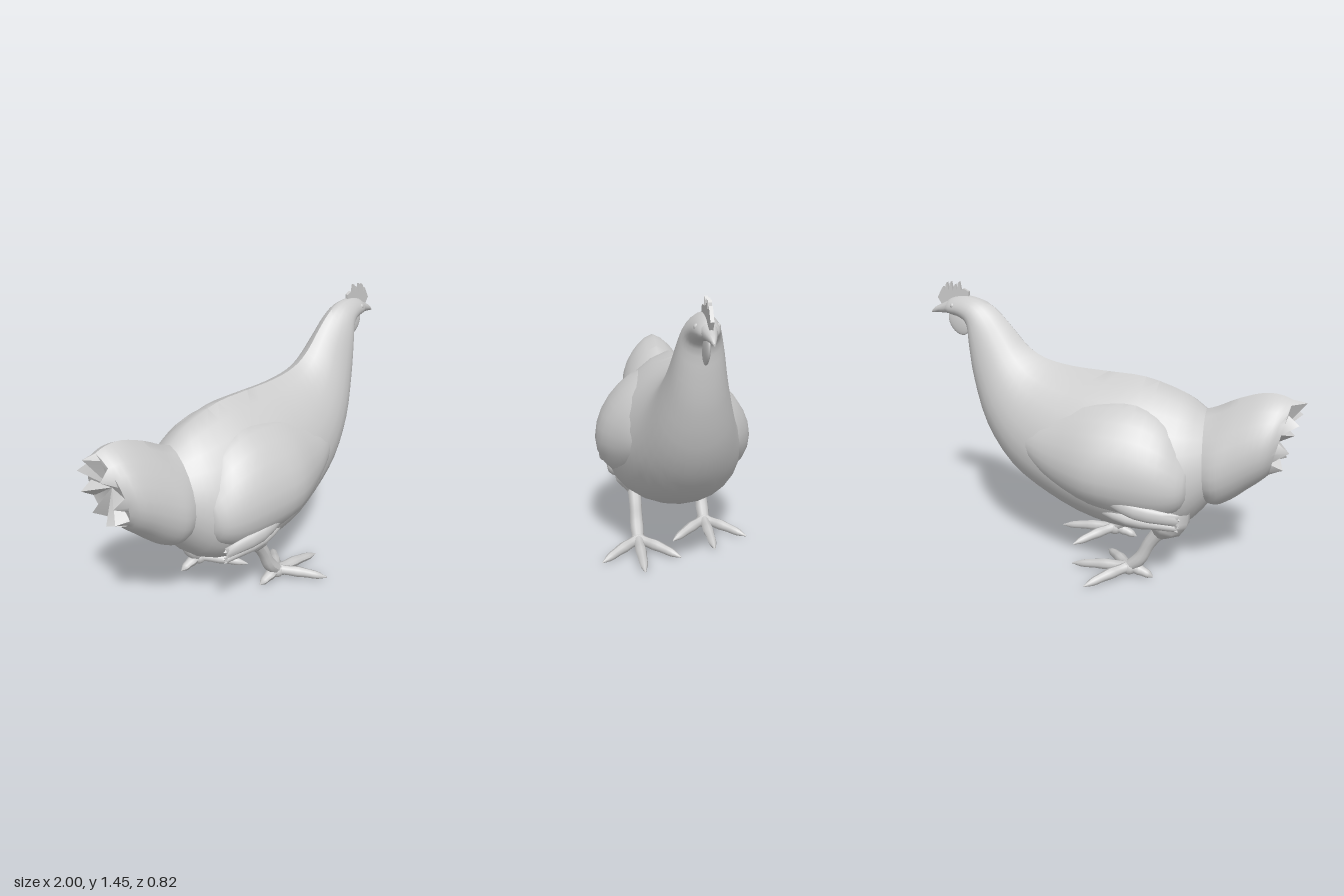
import * as THREE from 'three';
import { toCreasedNormals } from 'three/addons/utils/BufferGeometryUtils.js';

const material = new THREE.MeshStandardMaterial({ color: 0xcccccc, side: THREE.DoubleSide });

function add(parent, name, geometry) {
  const mesh = new THREE.Mesh(geometry, material);
  mesh.name = name;
  parent.add(mesh);
  return mesh;
}

// Skin through slanted rounded sections, listed from rear to front.
// Station: [topX, topY, bottomX, bottomY, halfWidth, centreZ]
function loft(stations, { sides = 24, steps = 3, bias = 0.74, jag = 0, hollow = 0 } = {}) {
  const curve = (f) => new THREE.CatmullRomCurve3(stations.map(f), false, 'catmullrom', 0.5);
  const top = curve((s) => new THREE.Vector3(s[0], s[1], s[4]));
  const bottom = curve((s) => new THREE.Vector3(s[2], s[3], s[5] || 0));
  const rings = (stations.length - 1) * steps;
  const pos = [], index = [];
  for (let i = 0; i <= rings; i++) {
    const t = top.getPoint(i / rings), b = bottom.getPoint(i / rings);
    for (let j = 0; j < sides; j++) {
      const a = (j / sides) * Math.PI * 2;
      const s = Math.pow((1 - Math.cos(a)) / 2, bias);
      // Every third point of the rear rim is a feather tip
      const notch = i === 0 ? (j % 3 ? jag / 2 : -jag) : 0;
      pos.push(t.x + (b.x - t.x) * s + notch, t.y + (b.y - t.y) * s, b.z + t.z * Math.sin(a));
    }
  }
  const a = stations[0], z = stations[stations.length - 1];
  const c0 = pos.length / 3;
  pos.push((a[0] + a[2]) / 2 + hollow, (a[1] + a[3]) / 2, a[5] || 0);
  pos.push((z[0] + z[2]) / 2, (z[1] + z[3]) / 2, z[5] || 0);
  for (let j = 0; j < sides; j++) {
    const k = (j + 1) % sides;
    for (let i = 0; i < rings; i++) {
      const p = i * sides, q = p + sides;
      index.push(p + j, p + k, q + j, p + k, q + k, q + j);
    }
    index.push(c0, k, j, c0 + 1, rings * sides + j, rings * sides + k);
  }
  const g = new THREE.BufferGeometry();
  g.setAttribute('position', new THREE.Float32BufferAttribute(pos, 3));
  g.setIndex(index);
  return toCreasedNormals(g, 0.8);
}

// Tube whose radius follows a list of values along its length
function limb(points, radii, sides = 10) {
  const path = new THREE.CatmullRomCurve3(points.map((p) => new THREE.Vector3(...p)));
  const n = 12, g = new THREE.TubeGeometry(path, n, 1, sides, false);
  const p = g.attributes.position, v = new THREE.Vector3();
  for (let i = 0; i <= n; i++) {
    const c = path.getPointAt(i / n), f = (i / n) * (radii.length - 1);
    const k = Math.min(Math.floor(f), radii.length - 2);
    const r = THREE.MathUtils.lerp(radii[k], radii[k + 1], f - k);
    for (let j = 0; j <= sides; j++) {
      const id = i * (sides + 1) + j;
      v.fromBufferAttribute(p, id).sub(c).multiplyScalar(r).add(c);
      p.setXYZ(id, v.x, v.y, v.z);
    }
  }
  g.computeVertexNormals();
  return g;
}

function makeWing(side) {
  const wing = new THREE.Group();
  wing.name = side > 0 ? 'leftWing' : 'rightWing';
  const place = (list) => list.map(([x, t, b, w, z]) => [x, t, x, b, w, z * side]);
  add(wing, 'wingCover', loft(place([
    [-0.48, 0.68, 0.48, 0.08, 0.2],
    [-0.44, 0.76, 0.41, 0.165, 0.16],
    [-0.35, 0.87, 0.36, 0.225, 0.145],
    [-0.2, 0.94, 0.35, 0.26, 0.14],
    [0, 0.94, 0.38, 0.268, 0.138],
    [0.2, 0.89, 0.45, 0.19, 0.145],
    [0.35, 0.83, 0.56, 0.11, 0.16],
    [0.43, 0.77, 0.67, 0.035, 0.185],
  ])));
  // Flat flight feathers emerging along the lower rear edge
  const feathers = [
    [[-0.46, 0.45, 0.39, 0.012, 0.33], [-0.25, 0.49, 0.41, 0.022, 0.36], [-0.06, 0.53, 0.49, 0.008, 0.355]],
    [[-0.45, 0.385, 0.35, 0.012, 0.31], [-0.2, 0.41, 0.35, 0.025, 0.315], [0, 0.43, 0.4, 0.008, 0.29]],
  ];
  feathers.forEach((f) => add(wing, 'flightFeather', loft(place(f), { sides: 12, bias: 1, jag: 0.012 })));
  return wing;
}

function makeLeg(side, shift) {
  const leg = new THREE.Group();
  leg.name = side > 0 ? 'leftLeg' : 'rightLeg';
  add(leg, 'thigh', limb([[-0.2, 0.44, 0], [-0.17, 0.36, 0], [-0.13, 0.26, 0]], [0.09, 0.11, 0.095, 0.035]));
  add(leg, 'shank', limb([[-0.15, 0.31, 0], [-0.08, 0.21, 0], [-0.03, 0.11, 0], [0.04, 0.045, 0]],
    [0.042, 0.035, 0.033, 0.036, 0.03]));
  add(leg, 'footJoint', new THREE.SphereGeometry(0.04, 12, 8)).position.set(0.03, 0.045, 0);
  // Three front toes and a short back toe
  [[0.35, 0], [0.21, 0.205], [0.21, -0.205], [-0.1, 0]].forEach(([x, z]) => {
    const mid = [(0.03 + x) / 2, 0.036, z / 2];
    add(leg, x < 0 ? 'backToe' : 'frontToe',
      limb([[0.03, 0.05, 0], mid, [x, 0.01, z]], [0.032, 0.025, 0.03, 0.024, 0.022, 0.003], 8));
  });
  leg.position.set(shift, 0, 0.2 * side);
  return leg;
}

export function createModel() {
  const hen = new THREE.Group();
  hen.name = 'hen';

  // Body, neck and head in one skin
  add(hen, 'body', loft([
    [-0.6, 0.83, -0.62, 0.52, 0.15],
    [-0.5, 0.905, -0.56, 0.41, 0.225],
    [-0.4, 0.97, -0.43, 0.27, 0.3],
    [-0.2, 1.03, -0.24, 0.222, 0.35],
    [0, 1.04, 0.02, 0.25, 0.355],
    [0.2, 1.05, 0.27, 0.335, 0.3],
    [0.35, 1.08, 0.5, 0.47, 0.24],
    [0.45, 1.14, 0.66, 0.68, 0.185],
    [0.54, 1.24, 0.74, 0.92, 0.135],
    [0.62, 1.32, 0.765, 1.1, 0.107],
    [0.7, 1.365, 0.775, 1.22, 0.085],
    [0.79, 1.38, 0.82, 1.26, 0.066],
    [0.87, 1.365, 0.88, 1.275, 0.05],
    [0.91, 1.335, 0.91, 1.285, 0.03],
  ]));

  // Tail fan with a ragged, hollowed rear edge, tucked into the body in front
  add(hen, 'tail', loft([
    [-0.955, 0.975, -0.86, 0.61, 0.125],
    [-0.88, 1.003, -0.81, 0.56, 0.18],
    [-0.79, 1.005, -0.74, 0.5, 0.2],
    [-0.67, 0.965, -0.67, 0.44, 0.215],
    [-0.57, 0.915, -0.6, 0.405, 0.225],
    [-0.5, 0.89, -0.52, 0.42, 0.205],
  ], { jag: 0.045, hollow: 0.05 }));

  for (const side of [1, -1]) {
    hen.add(makeWing(side), makeLeg(side, side > 0 ? 0 : -0.21));
    const eye = add(hen, side > 0 ? 'leftEye' : 'rightEye', new THREE.SphereGeometry(0.014, 12, 8));
    eye.position.set(0.85, 1.328, 0.043 * side);
  }

  // Hooked beak
  add(hen, 'beak', loft([
    [0.87, 1.36, 0.87, 1.275, 0.042],
    [0.92, 1.335, 0.92, 1.278, 0.03],
    [0.97, 1.31, 0.97, 1.277, 0.016],
    [1, 1.284, 1, 1.274, 0.004],
  ], { sides: 12, bias: 1 }));

  // Comb: a thin blade with a row of spikes
  const comb = new THREE.Shape();
  comb.moveTo(0.77, 1.36);
  comb.lineTo(0.77, 1.4);
  comb.lineTo(0.8, 1.415);
  [1.45, 1.435, 1.448, 1.443, 1.42].forEach((y, i) => {
    const x = 0.815 + i * 0.024;
    comb.lineTo(x, 1.405 - i * 0.003);
    comb.lineTo(x + 0.007, y);
    comb.lineTo(x + 0.016, y - 0.012);
  });
  comb.lineTo(0.955, 1.36);
  comb.lineTo(0.93, 1.32);
  add(hen, 'comb', new THREE.ExtrudeGeometry(comb, { depth: 0.016, bevelEnabled: false })).position.z = -0.008;

  // Wattle hanging below the beak
  const wattle = add(hen, 'wattle', new THREE.SphereGeometry(1, 16, 12));
  wattle.scale.set(0.052, 0.073, 0.014);
  wattle.position.set(0.842, 1.23, 0);
  wattle.rotation.z = -0.6;

  return hen;
}
